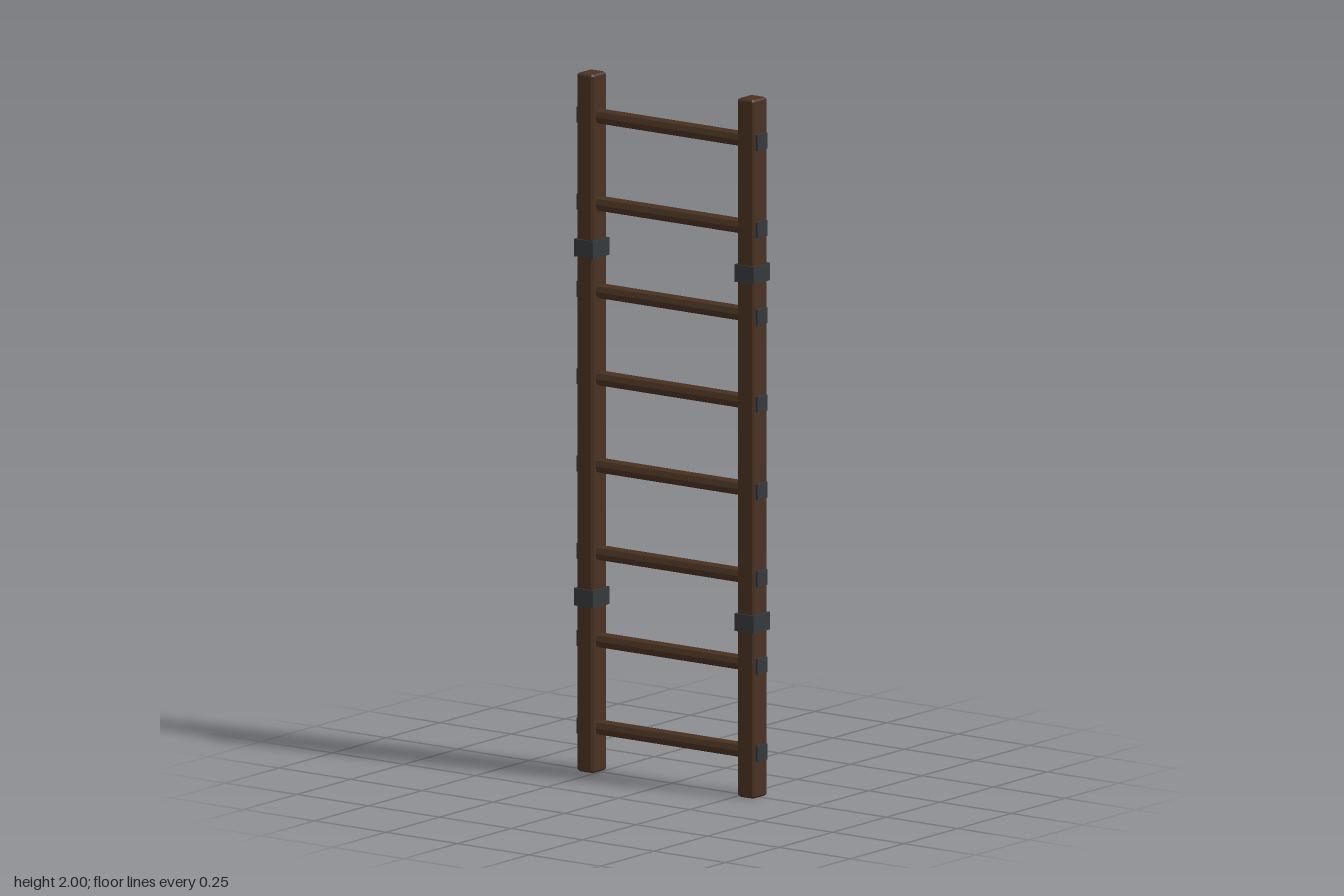
import * as THREE from 'three';

const H = 2, RAIL_X = 0.281, RAIL_W = 0.058, RAIL_D = 0.066, CHAMFER = 0.005;

const wood = new THREE.MeshStandardMaterial({ color: 0x4a3222 });
wood.name = 'darkWood';
wood.flatShading = true;
const iron = new THREE.MeshStandardMaterial({ color: 0x36393c });
iron.name = 'darkIron';

function part(parent, name, geometry, material, x, y, z = 0) {
  const mesh = new THREE.Mesh(geometry, material);
  mesh.name = name;
  mesh.position.set(x, y, z);
  parent.add(mesh);
  return mesh;
}

// Upright post with all edges chamfered, standing on y = 0
function railGeometry() {
  const c = CHAMFER, w = RAIL_W / 2 - c, d = RAIL_D / 2 - c, k = c * 0.6;
  const shape = new THREE.Shape([
    [w, -d + k], [w, d - k], [w - k, d], [-w + k, d],
    [-w, d - k], [-w, -d + k], [-w + k, -d], [w - k, -d],
  ].map(([x, y]) => new THREE.Vector2(x, y)));
  const g = new THREE.ExtrudeGeometry(shape, {
    depth: H - 2 * c, bevelEnabled: true, bevelSize: c, bevelThickness: c, bevelSegments: 1,
  });
  g.translate(0, 0, c);
  g.rotateX(-Math.PI / 2);
  return g;
}

export function createModel() {
  const ladder = new THREE.Group();
  ladder.name = 'ladder';

  const railGeo = railGeometry();
  const bandGeo = new THREE.BoxGeometry(0.068, 0.05, 0.077);
  const capGeo = new THREE.BoxGeometry(0.018, 0.045, 0.045);
  const rungGeo = new THREE.CylinderGeometry(0.022, 0.022, 2 * RAIL_X, 8);
  rungGeo.rotateZ(Math.PI / 2);

  // Side rails with iron bands
  for (const [side, s] of [['left', 1], ['right', -1]]) {
    part(ladder, side + 'Rail', railGeo, wood, s * RAIL_X, 0);
    for (const y of [0.5, 1.5]) part(ladder, side + 'Band', bandGeo, iron, s * RAIL_X, y);
  }

  // Eight octagonal rungs, each with iron caps on the outer rail faces
  for (let i = 0; i < 8; i++) {
    const y = 0.128 + i * 0.25;
    part(ladder, 'rung', rungGeo, wood, 0, y);
    for (const s of [1, -1]) part(ladder, 'rungCap', capGeo, iron, s * 0.309, y);
  }
  return ladder;
}
